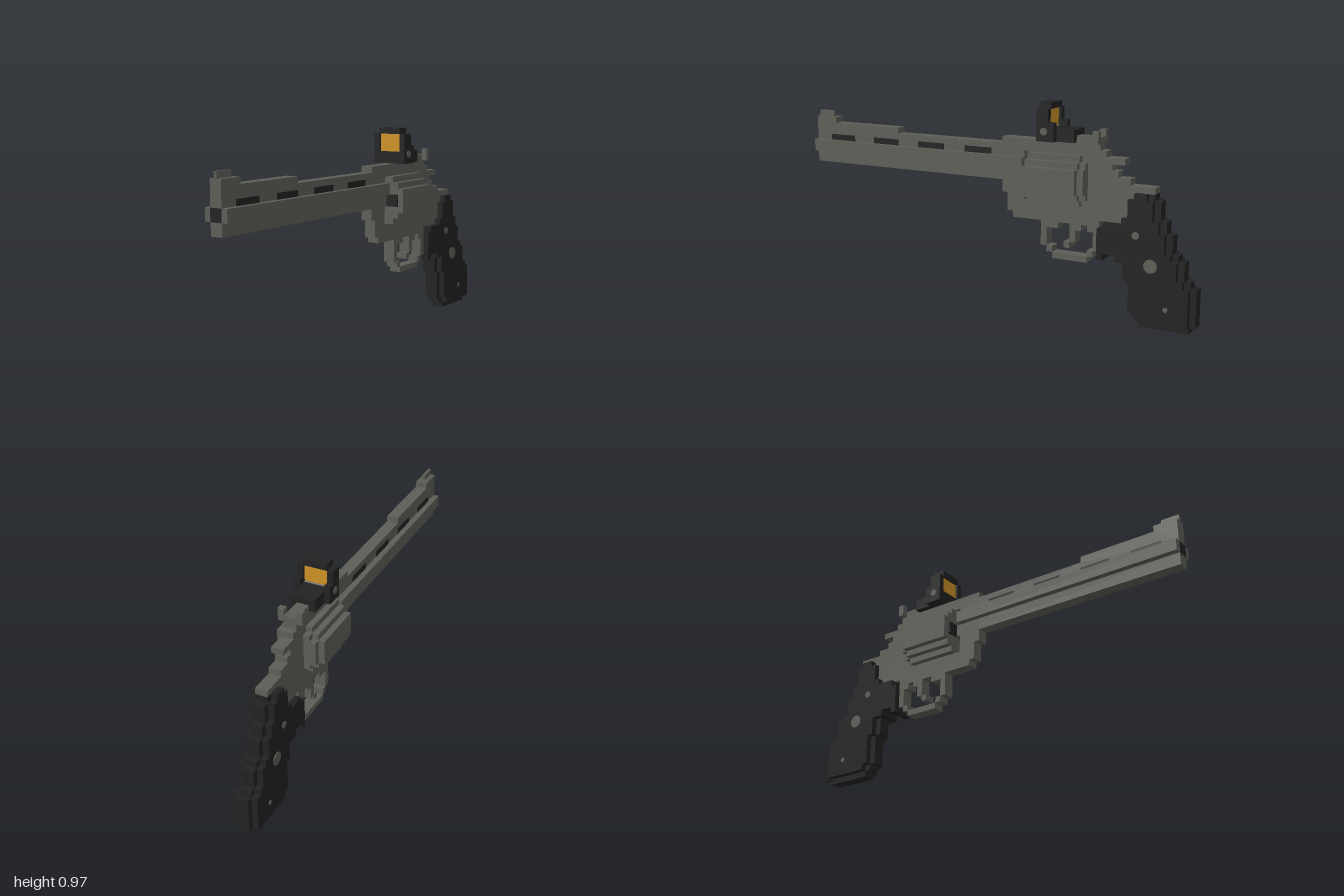
import * as THREE from 'three';

const U = 1 / 35; // one block; all sizes below are in blocks

export function createModel() {
  const mat = (name, color) => {
    const m = new THREE.MeshStandardMaterial({ color });
    m.name = name;
    return m;
  };
  const steel = mat('steel grey', 0x5e5e58);
  const black = mat('black', 0x222222);
  const amber = mat('amber glass', 0xca9125);

  const model = new THREE.Group();
  model.name = 'revolver';
  const add = (name, geometry, material) => {
    const mesh = new THREE.Mesh(geometry, material);
    mesh.name = name;
    model.add(mesh);
    return mesh;
  };
  // Box from its limits in x, y and z
  const box = (name, m, x0, x1, y0, y1, z0, z1) =>
    add(name, new THREE.BoxGeometry(x1 - x0, y1 - y0, Math.abs(z1 - z0))
      .translate((x0 + x1) / 2, (y0 + y1) / 2, (z0 + z1) / 2), m);
  // Box centred on x = 0
  const mid = (name, m, half, y0, y1, z0, z1) => box(name, m, -half, half, y0, y1, z0, z1);
  // Side profile of [z, y] points, extruded across x
  const slab = (name, m, half, points, hole) => {
    const toVec = (p) => new THREE.Vector2(p[0], p[1]);
    const shape = new THREE.Shape(points.map(toVec));
    if (hole) shape.holes.push(new THREE.Path(hole.map(toVec)));
    const g = new THREE.ExtrudeGeometry(shape, { depth: 2 * half, bevelEnabled: false });
    return add(name, g.translate(0, 0, -half).rotateY(-Math.PI / 2), m);
  };

  // Barrel: narrow underlug, wide tube and ventilated rib
  mid('barrelUnderlug', steel, 1, 21, 23, -2, 35);
  mid('barrelTube', steel, 2, 23, 25, -6, 35);
  slab('barrelRib', steel, 1, [[-2, 25], [35, 25], [35, 29], [31, 29], [31, 28], [18, 28], [18, 27], [-2, 27]]);
  mid('frontSightBlade', steel, 0.25, 29, 30, 32, 35);
  mid('bore', black, 1, 23, 25, 34.9, 35.05);
  for (let i = 0; i < 4; i++) mid('ribVent', black, 1.06, 25, 26, 27 - 9 * i, 32 - 9 * i);

  // Frame with a window for the cylinder
  slab('frame', steel, 1, [
    [-2, 28], [-2, 19], [-3, 19], [-3, 16], [-4, 16], [-4, 15], [-9, 15], [-9, 14], [-12, 14], [-12, 15],
    [-14, 15], [-14, 14], [-16, 14], [-16, 15], [-17, 15], [-17, 14], [-19, 14], [-19, 16], [-23, 16], [-23, 17],
    [-24, 17], [-24, 20], [-25, 20], [-25, 21], [-27, 21], [-27, 22], [-24, 22], [-24, 23], [-22, 23], [-22, 24],
    [-21, 24], [-21, 25], [-20, 25], [-20, 27], [-19, 27], [-19, 29], [-15, 29], [-15, 28],
  ], [[-6, 18], [-6, 26], [-16, 26], [-16, 18]]);
  mid('frameHeel', steel, 1, 21, 22, -28, -27);
  mid('hammer', steel, 1, 25, 26, -23, -20);
  for (const s of [-1, 1]) box('rearSightEar', steel, s * 1.5 - 0.5, s * 1.5 + 0.5, 28, 30, -19, -18);

  // Stepped cylinder and its chambers
  for (const [half, y0, y1] of [[4, 20, 24], [3, 19, 25], [2, 18, 26]])
    mid('cylinder', steel, half, y0, y1, -16, -7);
  for (const [half, y0, y1] of [[3, 20, 24], [2, 19, 25]])
    mid('cylinderRear', steel, half, y0, y1, -17, -16);
  mid('cylinderPin', steel, 1, 21, 23, -7, -6);
  for (const s of [-1, 1]) box('chamber', black, s * 2 - 1, s * 2 + 1, 21, 23, -7, -6.6);

  // Trigger and guard
  mid('trigger', steel, 1, 12, 14, -15, -14);
  mid('triggerTip', steel, 1, 11, 12, -14, -13);
  for (const [y0, y1, z0, z1] of [[11, 14, -10, -9], [10, 11, -11, -10], [9, 10, -17, -11], [10, 11, -18, -17], [11, 14, -19, -18]])
    mid('triggerGuard', steel, 1, y0, y1, z0, z1);

  // Grip: rows of bottom, top, front z, back z; side panels are set in at the edges
  const rows = [
    [20, 21, -25, -28], [17, 20, -24, -29], [16, 17, -23, -30], [15, 16, -20, -30], [12, 15, -19, -31],
    [11, 12, -19, -32], [10, 11, -22, -33], [8, 10, -23, -33], [7, 8, -23, -34], [2, 7, -24, -35],
    [1, 2, -25, -35], [0, 1, -26, -34],
  ];
  for (const [y0, y1, front, back] of rows) {
    mid('gripCore', black, 1, y0, y1, back, front);
    if (y0 > 0) mid('gripPanel', black, 2, y0, y1, back + 1, y1 > 10 ? front : front - 1);
  }
  mid('gripFrontTip', black, 2, 10, 11, -20, -19);
  for (const [r, y, z] of [[0.6, 14.6, -25.4], [1.1, 10.1, -27.9], [0.4, 3.6, -30.5]])
    add('gripScrew', new THREE.CylinderGeometry(r, r, 4.2, 12).rotateZ(Math.PI / 2).translate(0, y, z), steel);

  // Reflex sight: hood around amber glass, with a rear base
  for (const s of [-1, 1]) {
    box('sightSide', black, s * 2.5 - 0.5, s * 2.5 + 0.5, 28, 33, -11, -9);
    box('sightRearEar', black, s * 2.5 - 0.5, s * 2.5 + 0.5, 28, 31, -12, -11);
  }
  mid('sightTop', black, 2, 33, 34, -11, -9);
  mid('sightBase', black, 2, 28, 30, -15, -9);
  mid('sightGlass', amber, 2, 30, 33, -10.5, -9.5);
  add('sightKnob', new THREE.CylinderGeometry(0.6, 0.6, 6.2, 12).rotateZ(Math.PI / 2).translate(0, 29.6, -10.3), steel);

  model.scale.setScalar(U);
  return model;
}
